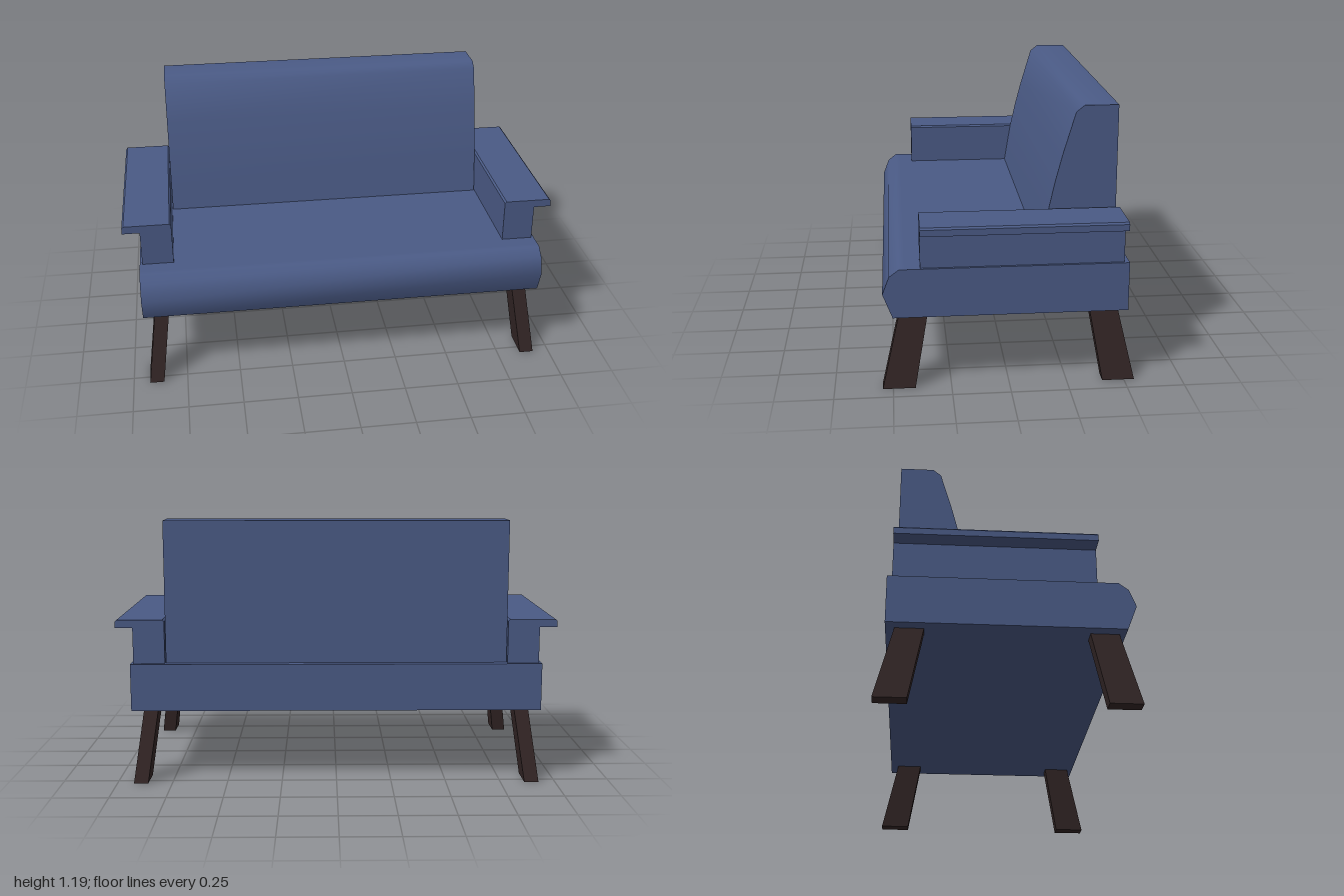
import * as THREE from 'three';
import { toCreasedNormals } from 'three/addons/utils/BufferGeometryUtils.js';

const fabric = new THREE.MeshStandardMaterial({ color: 0x4a5a85 });
fabric.name = 'blue fabric';
const wood = new THREE.MeshStandardMaterial({ color: 0x332626 });
wood.name = 'dark wood';

// Extrudes a profile, centred on its depth, with soft shallow edges
function extrude(points, depth) {
  const shape = new THREE.Shape(points.map(([x, y]) => new THREE.Vector2(x, y)));
  const geometry = new THREE.ExtrudeGeometry(shape, { depth, bevelEnabled: false });
  geometry.translate(0, 0, -depth / 2);
  return toCreasedNormals(geometry, Math.PI / 4);
}

function addPart(group, name, geometry, material) {
  const mesh = new THREE.Mesh(geometry, material);
  mesh.name = name;
  group.add(mesh);
  return mesh;
}

// Tapered leg splayed outwards towards the corner (sx, sz)
function legGeometry(sx, sz) {
  const geometry = new THREE.BoxGeometry(1, 1, 1);
  const p = geometry.attributes.position;
  for (let i = 0; i < p.count; i++) {
    const t = p.getY(i) + 0.5;
    p.setXYZ(
      i,
      p.getX(i) * 0.065 + sx * THREE.MathUtils.lerp(0.892, 0.848, t),
      t * 0.33,
      p.getZ(i) * THREE.MathUtils.lerp(0.14, 0.122, t) + sz * THREE.MathUtils.lerp(0.475, 0.407, t)
    );
  }
  geometry.computeVertexNormals();
  return geometry;
}

export function createModel() {
  const sofa = new THREE.Group();
  sofa.name = 'sofa';

  // Seat and backrest profiles are given as (z, y)
  const seat = extrude([
    [-0.506, 0.33], [0.495, 0.33], [0.536, 0.437], [0.507, 0.513],
    [0.465, 0.545], [0.44, 0.545], [-0.506, 0.545],
  ], 1.866).rotateY(-Math.PI / 2);
  addPart(sofa, 'seat', seat, fabric);

  const back = extrude([
    [-0.47, 0.545], [-0.148, 0.545], [-0.18, 0.745], [-0.205, 0.86], [-0.236, 0.98],
    [-0.29, 1.162], [-0.325, 1.19], [-0.47, 1.19],
  ], 1.55).rotateY(-Math.PI / 2);
  addPart(sofa, 'backrest', back, fabric);

  for (const sx of [1, -1]) {
    const side = sx > 0 ? 'left' : 'right';

    // Armrest with its top overhanging outwards
    const profile = [
      [0.778, 0.545], [0.921, 0.545], [0.921, 0.709], [1, 0.709],
      [1, 0.737], [0.992, 0.745], [0.786, 0.745], [0.778, 0.737],
    ].map(([x, y]) => [sx * x, y]);
    addPart(sofa, `${side}Armrest`, extrude(profile, 0.862), fabric).position.z = -0.054;

    addPart(sofa, `${side}FrontLeg`, legGeometry(sx, 1), wood);
    addPart(sofa, `${side}BackLeg`, legGeometry(sx, -1), wood);
  }
  return sofa;
}
